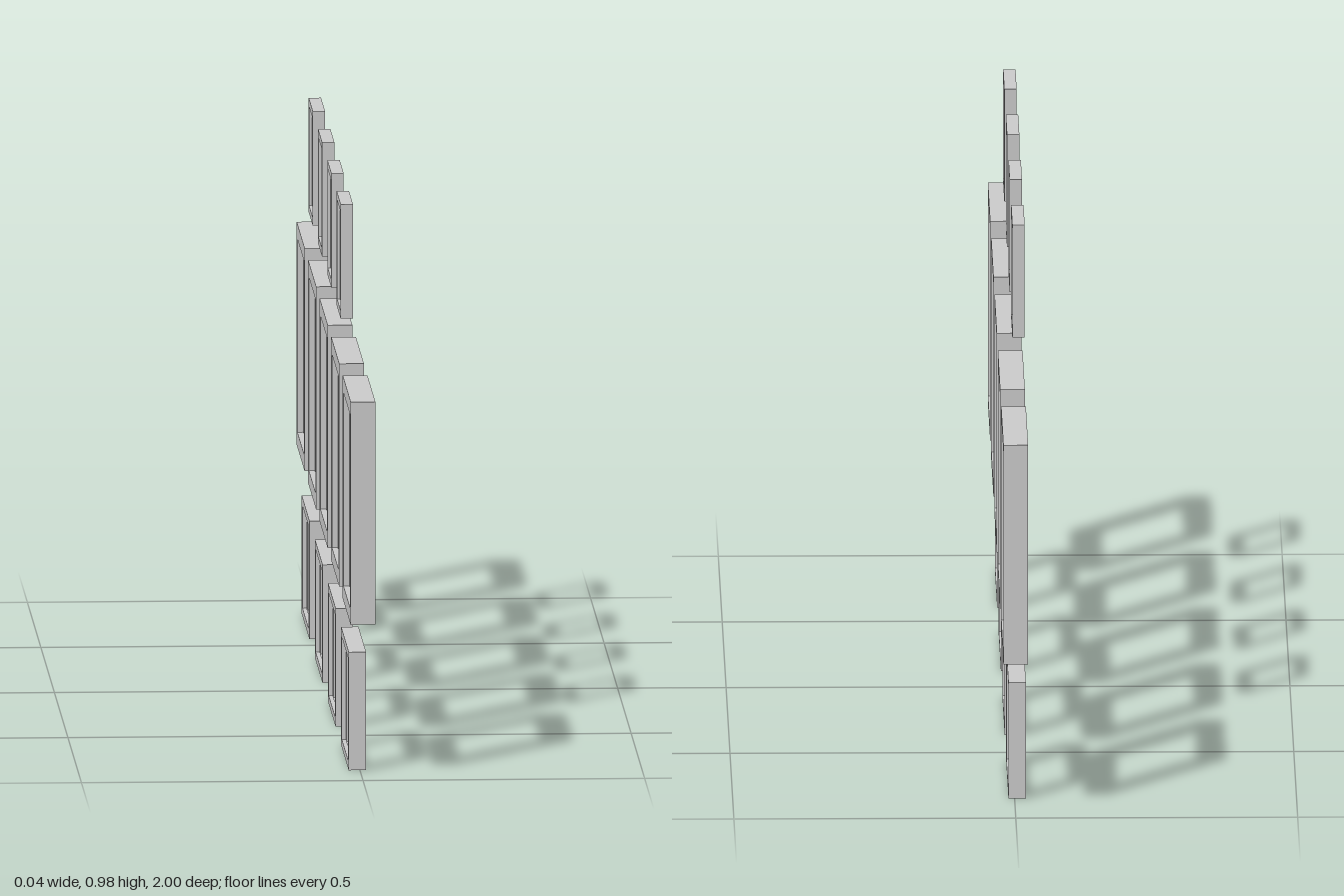
import * as THREE from 'three';

// Moulding section for the large frame: [inset from outer edge, depth along x from -1 to 1]
const SECTION = [
  [0, -1], [0, 1], [0.014, 1], [0.017, -0.4], [0.026, -0.5], [0.026, -1],
];
const CORNERS = [[1, -1], [1, 1], [-1, 1], [-1, -1]]; // signs of z, y
const LARGE = { w: 0.295, h: 0.4, d: 0.044 };

// Mitred picture frame: the section swept around a rectangle
function frameGeometry() {
  const { w, h, d } = LARGE;
  const point = (corner, [inset, depth]) => [
    depth * d / 2,
    corner[1] * (h / 2 - inset),
    corner[0] * (w / 2 - inset),
  ];
  const positions = [];
  CORNERS.forEach((corner, j) => {
    const next = CORNERS[(j + 1) % 4];
    SECTION.forEach((p, i) => {
      const q = SECTION[(i + 1) % SECTION.length];
      const a = point(corner, p), b = point(corner, q);
      const c = point(next, q), e = point(next, p);
      positions.push(...a, ...b, ...c, ...a, ...c, ...e);
    });
  });
  const geometry = new THREE.BufferGeometry();
  geometry.setAttribute('position', new THREE.Float32BufferAttribute(positions, 3));
  geometry.computeVertexNormals();
  return geometry;
}

// Rows of frames: size, x range, y range and the z centres
const ROWS = [
  { name: 'smallFrame', w: 0.15, x: [-0.022, 0], y: [0.77, 0.975], z: [0.554, 0.21, -0.135, -0.479] },
  { name: 'largeFrame', w: 0.295, x: [-0.022, 0.022], y: [0.28, 0.68], z: [0.8525, 0.427, 0, -0.427, -0.8525] },
  { name: 'landscapeFrame', w: 0.282, x: [-0.02, 0.011], y: [0, 0.212], z: [0.744, 0.26, -0.226, -0.71] },
];

export function createModel() {
  const model = new THREE.Group();
  model.name = 'pictureFrames';
  const geometry = frameGeometry();
  const material = new THREE.MeshStandardMaterial({ color: 0xcccccc, flatShading: true });

  for (const row of ROWS) {
    const group = new THREE.Group();
    group.name = row.name + 'Row';
    row.z.forEach((z, i) => {
      const frame = new THREE.Mesh(geometry, material);
      frame.name = row.name + (i + 1);
      frame.position.set((row.x[0] + row.x[1]) / 2, (row.y[0] + row.y[1]) / 2, z);
      frame.scale.set(
        (row.x[1] - row.x[0]) / LARGE.d,
        (row.y[1] - row.y[0]) / LARGE.h,
        row.w / LARGE.w,
      );
      group.add(frame);
    });
    model.add(group);
  }
  return model;
}
